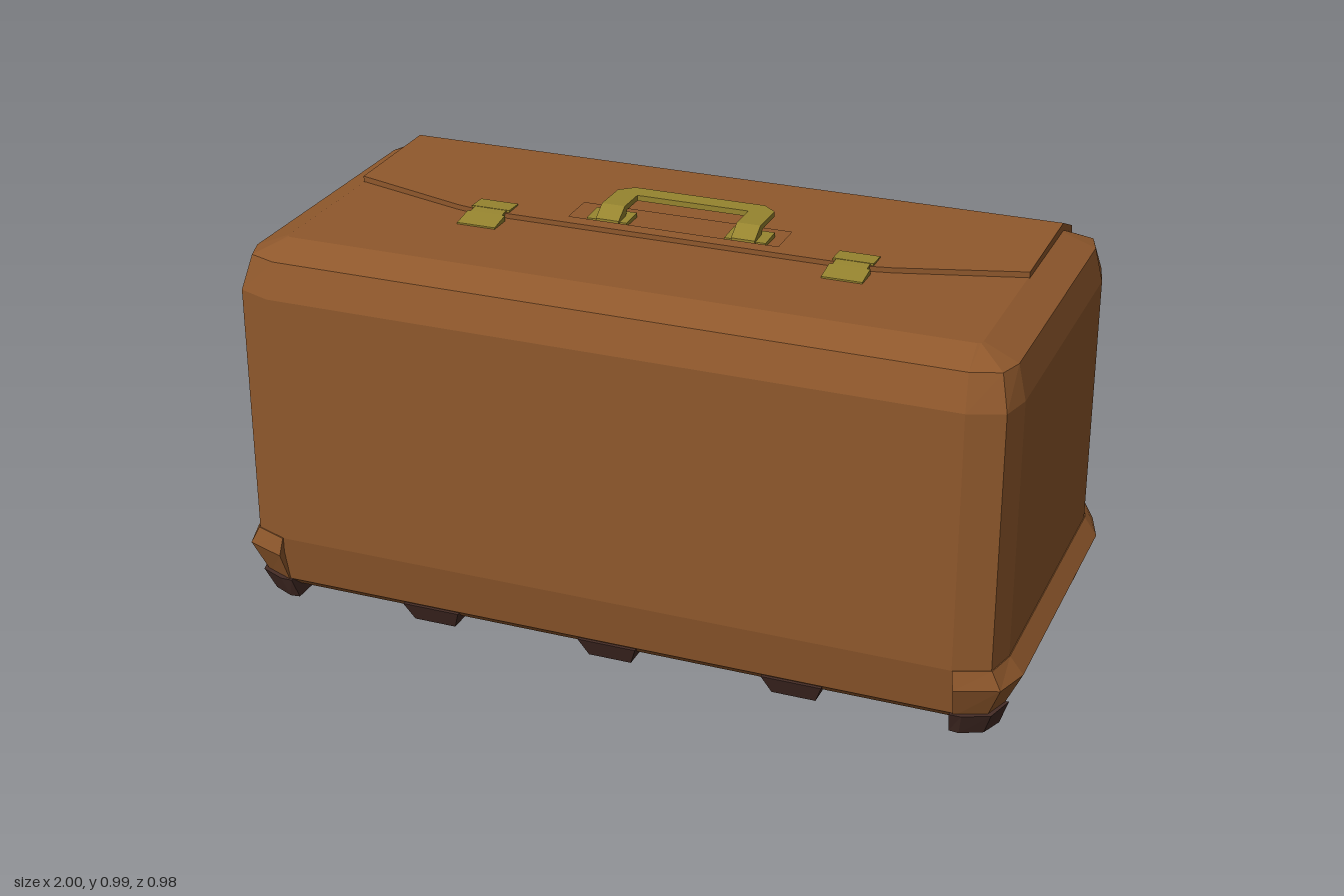
import * as THREE from 'three';

const leather = new THREE.MeshStandardMaterial({ name: 'brown leather', color: 0x8f582c });
const brass = new THREE.MeshStandardMaterial({ name: 'dull brass', color: 0x96842f });
const dark = new THREE.MeshStandardMaterial({ name: 'dark feet', color: 0x452c26 });

// Closed solid through horizontal rings: [{ y, pts: [[x, z], ...] }, ...] from bottom to top
function loft(rings) {
  const first = rings[0].pts, n = first.length;
  let area = 0;
  first.forEach(([x, z], i) => {
    const [x2, z2] = first[(i + 1) % n];
    area += z * x2 - x * z2;
  });
  const loops = rings.map(({ y, pts }) => {
    const loop = pts.map(([x, z]) => [x, y, z]);
    return area < 0 ? loop.reverse() : loop;
  });
  const pos = [];
  const tri = (a, b, c) => pos.push(...a, ...b, ...c);
  for (let k = 0; k + 1 < loops.length; k++) {
    for (let i = 0; i < n; i++) {
      const j = (i + 1) % n, p = loops[k], q = loops[k + 1];
      tri(p[i], p[j], q[j]);
      tri(p[i], q[j], q[i]);
    }
  }
  const bottom = loops[0], top = loops[loops.length - 1];
  for (let i = 1; i + 1 < n; i++) {
    tri(bottom[0], bottom[i + 1], bottom[i]);
    tri(top[0], top[i], top[i + 1]);
  }
  const geo = new THREE.BufferGeometry();
  geo.setAttribute('position', new THREE.Float32BufferAttribute(pos, 3));
  geo.computeVertexNormals();
  return geo;
}

// Side outline [z, y] given a width along x
function profile(points, width, cx = 0) {
  const shape = new THREE.Shape(points.map(([z, y]) => new THREE.Vector2(-z, y)));
  return new THREE.ExtrudeGeometry(shape, { depth: width, bevelEnabled: false })
    .translate(0, 0, -width / 2).rotateY(Math.PI / 2).translate(cx, 0, 0);
}

// Plan outline [x, z] given a height along y, with an optional hole
function plate(points, y, height, hole) {
  const toV = ([x, z]) => new THREE.Vector2(x, -z);
  const shape = new THREE.Shape(points.map(toV));
  if (hole) shape.holes.push(new THREE.Path(hole.map(toV)));
  return new THREE.ExtrudeGeometry(shape, { depth: height, bevelEnabled: false })
    .rotateX(-Math.PI / 2).translate(0, y, 0);
}

// One right-hand side of a ring, front to back, from its three front corner points
const half = (c) => [...c, ...c.map(([x, z]) => [x, -z]).reverse()];
const full = (c) => [...half(c), ...half(c).map(([x, z]) => [-x, -z])];
const mirror = (pts, sx, sz = 1) => pts.map(([x, z]) => [x * sx, z * sz]);

export function createModel() {
  const group = new THREE.Group();
  const add = (name, geo, mat) => {
    const mesh = new THREE.Mesh(geo, mat);
    mesh.name = name;
    group.add(mesh);
  };

  // Chamfered case body
  const wall = [[0.86, 0.477], [0.945, 0.445], [0.965, 0.365]];
  add('caseBody', loft([
    { y: 0.03, pts: full([[0.86, 0.42], [0.9, 0.4], [0.92, 0.36]]) },
    { y: 0.06, pts: full([[0.86, 0.455], [0.92, 0.43], [0.94, 0.365]]) },
    { y: 0.185, pts: full(wall) },
    { y: 0.83, pts: full(wall) },
    { y: 0.915, pts: full([[0.855, 0.445], [0.925, 0.42], [0.945, 0.36]]) },
    { y: 0.95, pts: full([[0.85, 0.365], [0.857, 0.36], [0.86, 0.35]]) },
  ]), leather);

  // Flared skirts wrapping each end
  const skirt = [
    [0.012, [[0.862, 0.43], [0.91, 0.405], [0.93, 0.36]]],
    [0.05, [[0.862, 0.455], [0.935, 0.425], [0.957, 0.362]]],
    [0.14, [[0.868, 0.49], [0.97, 0.452], [1.0, 0.362]]],
    [0.185, [[0.862, 0.48], [0.947, 0.447], [0.967, 0.365]]],
  ];
  for (const s of [1, -1]) {
    add(s > 0 ? 'leftSkirt' : 'rightSkirt',
      loft(skirt.map(([y, c]) => ({ y, pts: mirror(half(c), s) }))), leather);
  }

  // Corner feet and three smaller feet along each long edge
  const footTop = [[0.855, 0.36], [0.855, 0.464], [0.885, 0.464], [0.948, 0.436], [0.97, 0.36]];
  const footBottom = [[0.85, 0.36], [0.85, 0.437], [0.875, 0.44], [0.928, 0.415], [0.95, 0.36]];
  for (const sz of [1, -1]) {
    for (const sx of [1, -1]) {
      add('cornerFoot', loft([
        { y: 0, pts: mirror(footBottom, sx, sz) },
        { y: 0.06, pts: mirror(footTop, sx, sz) },
      ]), dark);
    }
    for (const x of [-0.47, 0, 0.47]) {
      const box = (w, z0, z1) => [[x - w, z0], [x + w, z0], [x + w, z1], [x - w, z1]]
        .map(([px, z]) => [px, z * sz]);
      add('edgeFoot', loft([
        { y: 0.004, pts: box(0.055, 0.36, 0.435) },
        { y: 0.055, pts: box(0.075, 0.36, 0.458) },
      ]), dark);
    }
  }

  // Flap: down the back, over the rear edge
  add('flapBack', profile([
    [-0.46, 0.185], [-0.49, 0.185], [-0.49, 0.835], [-0.45, 0.93],
    [-0.355, 0.97], [-0.355, 0.945], [-0.42, 0.91], [-0.46, 0.83],
  ], 1.726), leather);

  // Flap top, sloping gently to its tapered front edge, with a well for the handle
  const flapTop = plate(
    [[-0.863, -0.355], [0.863, -0.355], [0.863, -0.038], [0.56, 0.05], [0.5, 0.062],
      [-0.5, 0.062], [-0.56, 0.05], [-0.863, -0.038]],
    0.945, 0.025,
    [[-0.27, -0.07], [0.27, -0.07], [0.27, 0.025], [-0.27, 0.025]]);
  const p = flapTop.attributes.position;
  for (let i = 0; i < p.count; i++) p.setY(i, p.getY(i) - 0.018 * (p.getZ(i) + 0.355));
  flapTop.computeVertexNormals();
  add('flapTop', flapTop, leather);

  // Clasps: upper plate on the flap, lower plate on the case, narrow hinge between
  for (const x of [-0.465, 0.465]) {
    add('claspUpper', profile([[0.003, 0.955], [0.003, 0.967], [0.055, 0.968], [0.055, 0.955]], 0.1, x), brass);
    add('claspHinge', profile([[0.055, 0.945], [0.055, 0.967], [0.08, 0.964], [0.08, 0.945]], 0.084, x), brass);
    add('claspLower', profile([[0.08, 0.945], [0.08, 0.964], [0.14, 0.954], [0.14, 0.945]], 0.1, x), brass);
  }

  // Handle: raised grip, bent legs and their mounting plates
  add('handleGrip', plate([
    [-0.205, -0.03], [-0.205, -0.13], [-0.17, -0.16], [0.17, -0.16], [0.205, -0.13], [0.205, -0.03],
    [0.145, -0.03], [0.145, -0.11], [-0.145, -0.11], [-0.145, -0.03],
  ], 0.973, 0.014), brass);
  for (const x of [-0.175, 0.175]) {
    add('handleLeg', profile([
      [0.01, 0.945], [0.01, 0.962], [-0.03, 0.987], [-0.045, 0.987], [-0.045, 0.973], [-0.025, 0.945],
    ], 0.06, x), brass);
    add('handleMount', profile([
      [0.005, 0.945], [0.005, 0.958], [-0.06, 0.962], [-0.06, 0.945],
    ], 0.105, x * 1.02), brass);
  }
  return group;
}
